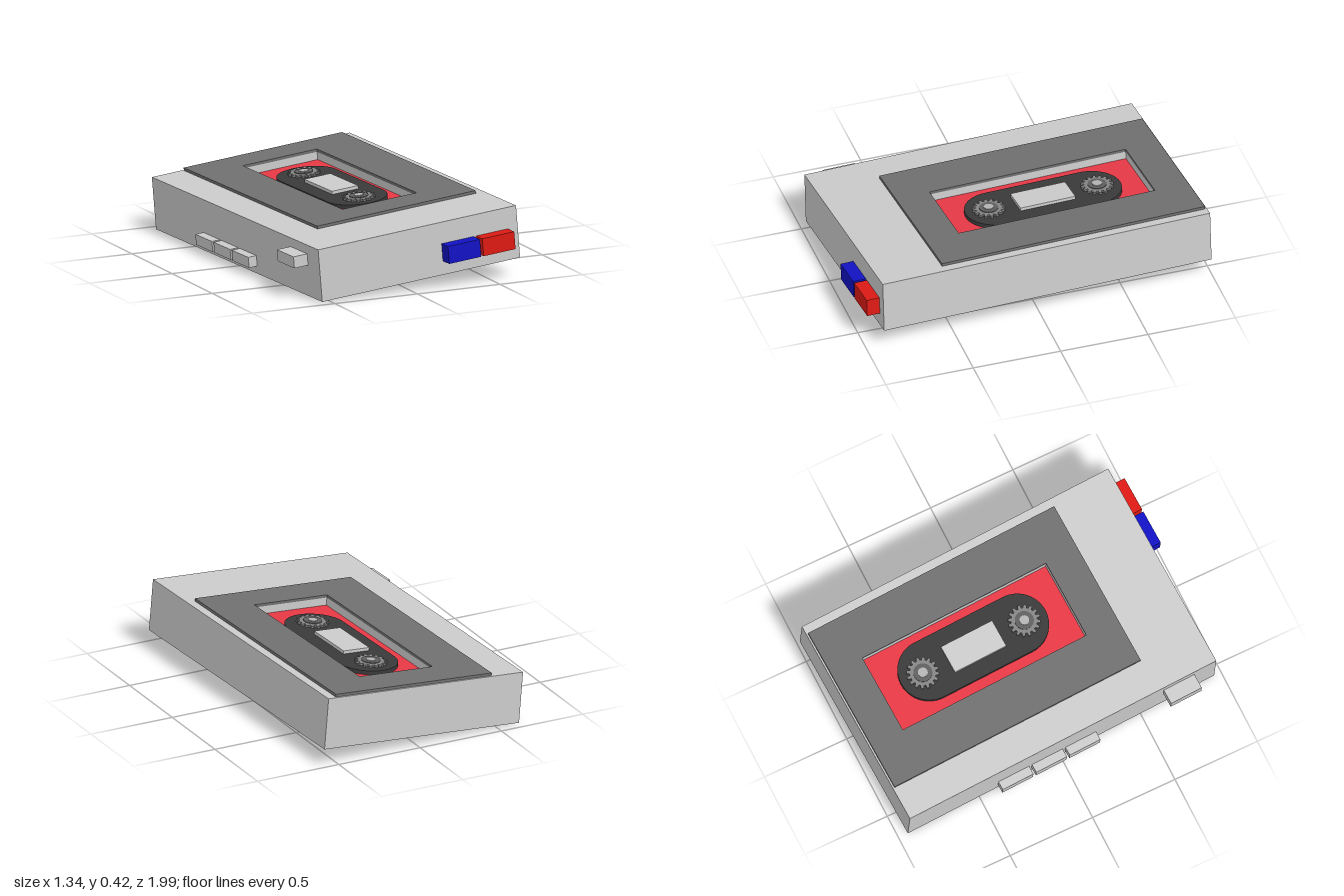
import * as THREE from 'three';

const mat = (color) => new THREE.MeshStandardMaterial({ color });
const GREY = mat(0xcccccc), PLATE = mat(0x707070), DARK = mat(0x3a3a3a);
const TAPE_RED = mat(0xe63946), RED = mat(0xdd1a14), BLUE = mat(0x1212c4);
const COG = mat(0x858585), COG_INNER = mat(0x606060), HUB = mat(0xb4b4b4);

// Body size and the shared centre of the lid and its window
const W = 1.23, H = 0.296, L = 1.902;
const LID = { x: 0.071, z: -0.177, w: 0.985, l: 1.528, y: H / 2 };
const WIN = { w: 0.46, l: 1.14 };
const FLOOR = 0.1, TAPE_TOP = 0.104;

function add(parent, name, geometry, material, x, y, z) {
  const mesh = new THREE.Mesh(geometry, material);
  mesh.name = name;
  mesh.position.set(x, y, z);
  parent.add(mesh);
  return mesh;
}

const box = (parent, name, material, w, h, l, x, y, z) =>
  add(parent, name, new THREE.BoxGeometry(w, h, l), material, x, y, z);

// Lays a shape flat: shape y becomes -z, thickness rises along +y
function slab(shape, thickness) {
  const g = new THREE.ExtrudeGeometry(shape, { depth: thickness, bevelEnabled: false, curveSegments: 20 });
  return g.rotateX(-Math.PI / 2);
}

function rect(Type, w, l, cx = 0, cy = 0) {
  return new Type([[-1, -1], [1, -1], [1, 1], [-1, 1]].map(
    ([sx, sy]) => new THREE.Vector2(cx + sx * w / 2, cy + sy * l / 2)));
}

function frame(w, l, hx, hy) {
  const shape = rect(THREE.Shape, w, l);
  shape.holes.push(rect(THREE.Path, WIN.w, WIN.l, hx, hy));
  return shape;
}

function stadium(r, half) {
  const s = new THREE.Shape();
  s.absarc(0, half, r, 0, Math.PI);
  s.absarc(0, -half, r, Math.PI, Math.PI * 2);
  s.closePath();
  return s;
}

function cogShape(teeth, outer, inner) {
  const pts = [];
  for (let i = 0; i < teeth; i++) {
    for (const [t, r] of [[0, inner], [0.3, inner], [0.45, outer], [0.85, outer]]) {
      const a = (i + t) / teeth * Math.PI * 2;
      pts.push(new THREE.Vector2(Math.cos(a) * r, Math.sin(a) * r));
    }
  }
  return new THREE.Shape(pts);
}

export function createModel() {
  const model = new THREE.Group();
  model.name = 'cassettePlayer';
  const player = new THREE.Group();
  player.name = 'player';
  player.position.set(0.003, 0.208, -0.02);
  player.rotation.set(-0.003, 0.044, 0.0855, 'YZX');
  model.add(player);

  // Case: solid lower part and an upper rim around the window
  box(player, 'caseBottom', GREY, W, FLOOR + H / 2, L, 0, (FLOOR - H / 2) / 2, 0);
  add(player, 'caseTop', slab(frame(W, L, LID.x, -LID.z), H / 2 - FLOOR), GREY, 0, FLOOR, 0);

  // Lid plate with its window
  add(player, 'lid', slab(frame(LID.w, LID.l, 0, 0), 0.016), PLATE, LID.x, LID.y, LID.z);

  // Cassette inside the window
  const tape = new THREE.Group();
  tape.name = 'cassette';
  tape.position.set(LID.x, TAPE_TOP, LID.z);
  player.add(tape);
  box(tape, 'cassetteShell', TAPE_RED, WIN.w, TAPE_TOP - FLOOR, WIN.l, 0, (FLOOR - TAPE_TOP) / 2, 0);
  add(tape, 'cassetteLabel', slab(stadium(0.172, 0.275), 0.022), DARK, 0.01, 0, 0);
  box(tape, 'cassetteWindow', GREY, 0.162, 0.018, 0.318, 0.008, 0.031, 0);

  // Two toothed reels
  for (const side of [-1, 1]) {
    const reel = new THREE.Group();
    reel.name = side < 0 ? 'backReel' : 'frontReel';
    reel.position.set(0.008, 0.022, side * 0.315);
    tape.add(reel);
    add(reel, 'cog', slab(cogShape(16, 0.09, 0.072), 0.012), COG, 0, 0, 0);
    add(reel, 'cogDisc', new THREE.CylinderGeometry(0.052, 0.052, 0.004, 32), COG_INNER, 0, 0.014, 0);
    add(reel, 'hub', new THREE.CylinderGeometry(0.027, 0.027, 0.006, 24), HUB, 0, 0.017, 0);
  }

  // Coloured buttons on the front
  box(player, 'blueButton', BLUE, 0.198, 0.099, 0.095, 0.241, -0.022, 0.977);
  box(player, 'redButton', RED, 0.198, 0.099, 0.095, 0.4545, -0.022, 0.977);

  // Switch and three keys on the right side
  box(player, 'sideSwitch', GREY, 0.1, 0.065, 0.19, -0.65, 0.064, 0.722);
  for (let i = -1; i <= 1; i++) {
    box(player, 'sideKey', GREY, 0.07, 0.06, 0.19, -0.63, -0.075, -0.09 + i * 0.208);
  }
  return model;
}
